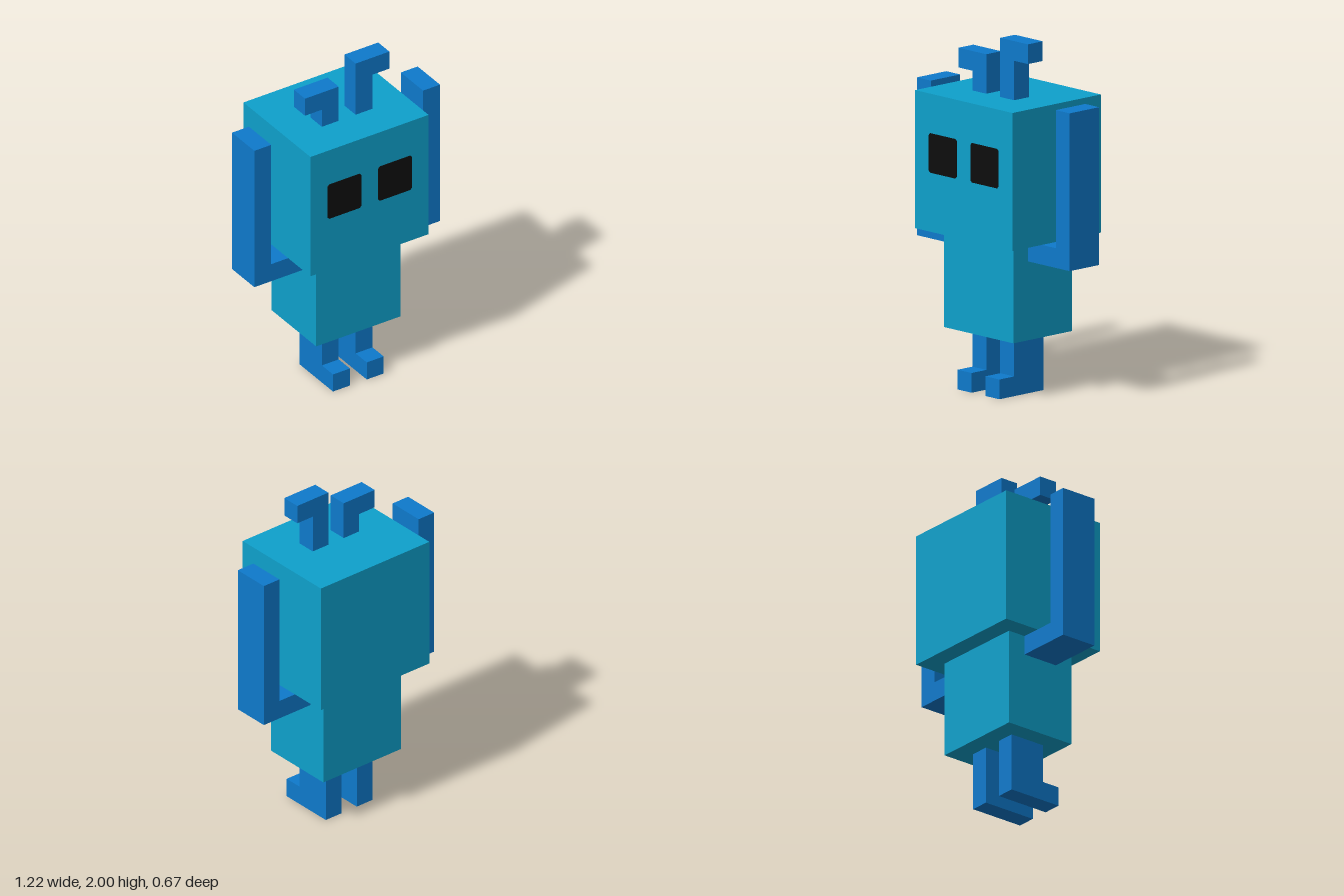
import * as THREE from 'three';

const U = 1 / 9; // one block of the model's grid

const teal = new THREE.MeshStandardMaterial({ name: 'teal', color: 0x0ea1cc });
const blue = new THREE.MeshStandardMaterial({ name: 'blue', color: 0x0e7acc });
const black = new THREE.MeshStandardMaterial({ name: 'black', color: 0x0d0d0d });

function addMesh(parent, name, geometry, material) {
  const mesh = new THREE.Mesh(geometry, material);
  mesh.name = name;
  parent.add(mesh);
  return mesh;
}

// Box given by its lower and upper corners, in blocks
function block([x0, y0, z0], [x1, y1, z1]) {
  return new THREE.BoxGeometry(x1 - x0, y1 - y0, z1 - z0)
    .translate((x0 + x1) / 2, (y0 + y1) / 2, (z0 + z1) / 2)
    .scale(U, U, U);
}

// Flat outline extruded from z0 to z1, in blocks; side = -1 mirrors it in x
function slab(points, z0, z1, side = 1) {
  const shape = new THREE.Shape(points.map(([x, y]) => new THREE.Vector2(x * side, y)));
  return new THREE.ExtrudeGeometry(shape, { depth: z1 - z0, bevelEnabled: false })
    .translate(0, 0, z0)
    .scale(U, U, U);
}

// Hooked antenna outline rising from the top of the head
const antenna = (top) => [
  [0.5, 15], [1.5, 15], [1.5, top - 1], [2.5, top - 1], [2.5, top], [0.5, top],
];

// Raised arm: out from the body, then straight up
const arm = [[2.5, 7], [5.5, 7], [5.5, 15], [4.5, 15], [4.5, 8], [2.5, 8]];

// Leg and foot, drawn as (z, y)
const leg = [[-1, 0], [2, 0], [2, 1], [1, 1], [1, 3], [-1, 3]];

// Square eye with slightly clipped corners
const c = 0.1;
const eye = [
  [0.5 + c, 11], [2.5 - c, 11], [2.5, 11 + c], [2.5, 13 - c],
  [2.5 - c, 13], [0.5 + c, 13], [0.5, 13 - c], [0.5, 11 + c],
];

export function createModel() {
  const model = new THREE.Group();
  model.name = 'blockRobot';

  addMesh(model, 'head', block([-3.5, 8, -3], [3.5, 15, 3]), teal);
  addMesh(model, 'body', block([-2.5, 3, -2], [2.5, 8, 2]), teal);

  for (const [prefix, side, antennaTop] of [['left', 1, 18], ['right', -1, 17]]) {
    addMesh(model, prefix + 'Eye', slab(eye, 2.99, 3.03, side), black);
    addMesh(model, prefix + 'Antenna', slab(antenna(antennaTop), 0, 1, side), blue);
    addMesh(model, prefix + 'Arm', slab(arm, -1, 1, side), blue);

    // The profile is turned so its length runs along z
    const legGeometry = slab(leg, -0.5, 0.5).rotateY(-Math.PI / 2);
    addMesh(model, prefix + 'Leg', legGeometry, blue).position.x = side * U;
  }
  return model;
}
